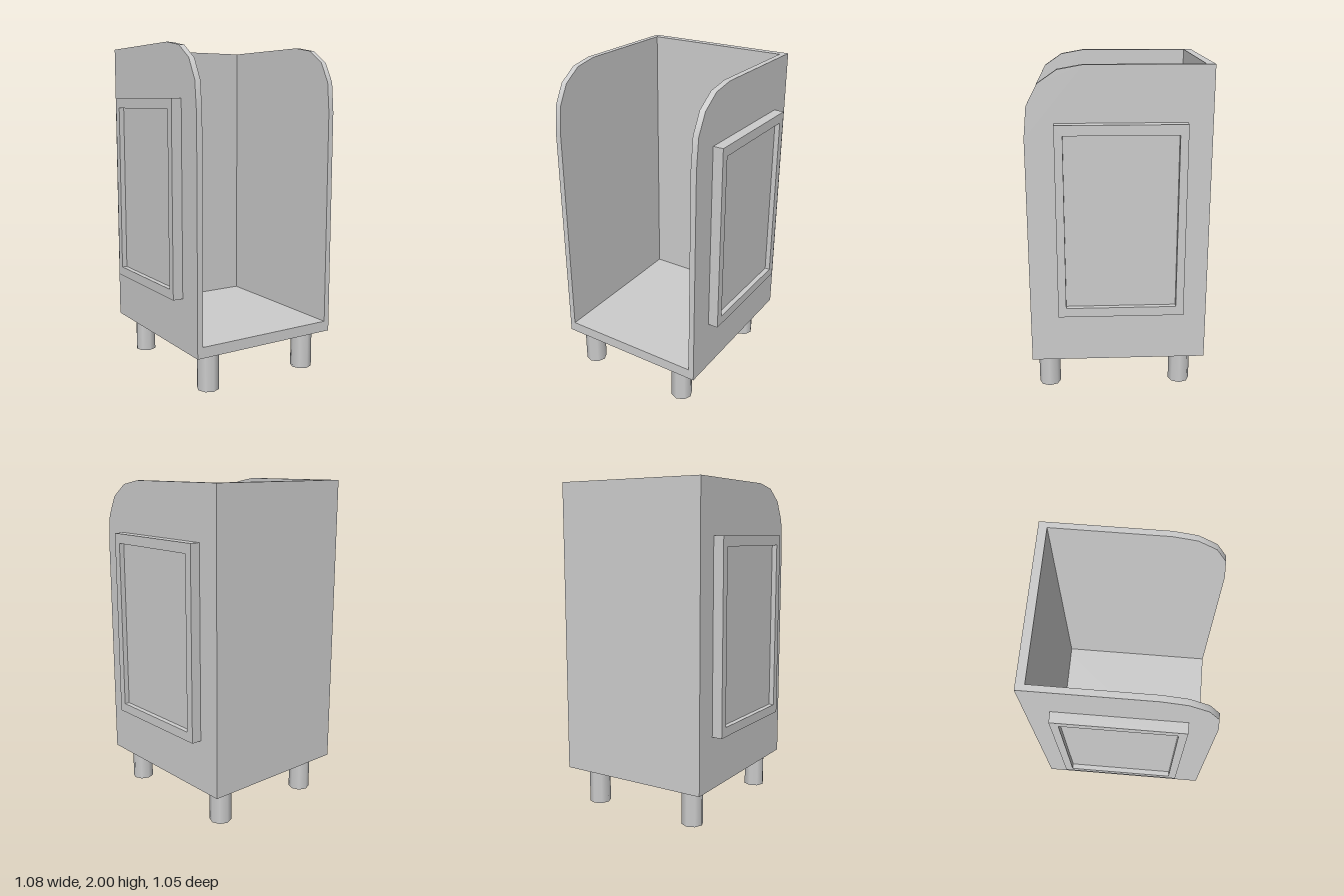
import * as THREE from 'three';
import { toCreasedNormals } from 'three/addons/utils/BufferGeometryUtils.js';

const material = new THREE.MeshStandardMaterial({ color: 0xcccccc });

const OUT = 0.48, IN = 0.445;        // outer and inner faces of the side walls
const FRONT = 0.525, BACK = -0.525;
const BOTTOM = 0.23, FLOOR = 0.295, TOP = 2;

function add(parent, name, geometry) {
  const mesh = new THREE.Mesh(geometry, material);
  mesh.name = name;
  parent.add(mesh);
  return mesh;
}

// Box given by its minimum and maximum corners
function block(x0, x1, y0, y1, z0, z1) {
  return new THREE.BoxGeometry(x1 - x0, y1 - y0, z1 - z0)
    .translate((x0 + x1) / 2, (y0 + y1) / 2, (z0 + z1) / 2);
}

// Extrudes a (z, y) outline sideways, between x0 and x1
function slab(shape, x0, x1) {
  const g = new THREE.ExtrudeGeometry(shape, { depth: x1 - x0, bevelEnabled: false });
  return toCreasedNormals(g.rotateY(-Math.PI / 2).translate(x1, 0, 0), 0.7);
}

function rectangle(z0, z1, y0, y1) {
  return [[z0, y0], [z1, y0], [z1, y1], [z0, y1]].map(p => new THREE.Vector2(...p));
}

export function createModel() {
  const model = new THREE.Group();
  model.name = 'cabinet';

  // Side wall outline with the rounded upper front corner
  const wall = new THREE.Shape([
    [BACK, BOTTOM], [FRONT, BOTTOM], [FRONT, 1.6], [0.508, 1.78],
    [0.445, 1.9], [0.335, 1.975], [0.195, TOP], [BACK, TOP],
  ].map(p => new THREE.Vector2(...p)));

  // Raised frame outline with its opening
  const frame = new THREE.Shape(rectangle(-0.382, 0.358, 0.542, 1.684));
  frame.holes.push(new THREE.Path(rectangle(-0.335, 0.311, 0.598, 1.625)));

  for (const s of [1, -1]) {
    const side = s > 0 ? 'left' : 'right';
    const span = (a, b) => (s > 0 ? [a, b] : [-b, -a]);
    add(model, side + 'Wall', slab(wall, ...span(IN, OUT)));
    add(model, side + 'Frame', slab(frame, ...span(OUT, 0.542)));
    // Panel recessed inside the frame
    add(model, side + 'Panel', block(...span(OUT, 0.511), 0.598, 1.625, -0.335, 0.311));
  }

  // Floor and back between the walls
  add(model, 'floor', block(-IN, IN, BOTTOM, FLOOR, BACK, FRONT));
  add(model, 'backWall', block(-IN, IN, FLOOR, TOP, BACK, -0.476));

  // Four eight-sided legs
  for (const [xName, x] of [['Left', 0.338], ['Right', -0.354]]) {
    for (const [zName, z] of [['front', 0.428], ['back', -0.391]]) {
      add(model, zName + xName + 'Leg', new THREE.CylinderGeometry(0.066, 0.066, BOTTOM, 8))
        .position.set(x, BOTTOM / 2, z);
    }
  }
  return model;
}
